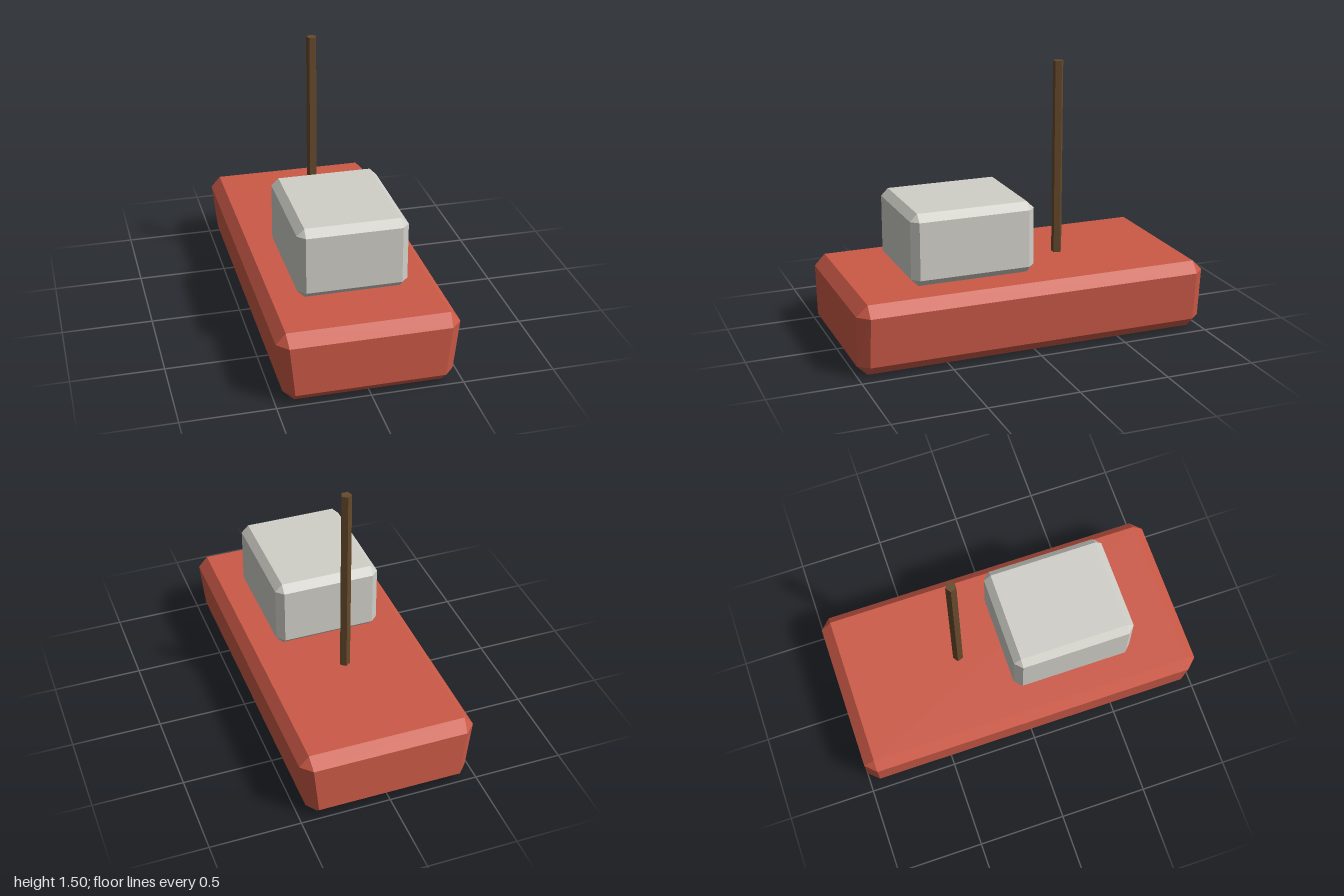
import * as THREE from 'three';
import { ConvexGeometry } from 'three/addons/geometries/ConvexGeometry.js';

const hullRed = new THREE.MeshStandardMaterial({ color: 0xcc5a47, flatShading: true });
hullRed.name = 'hullRed';
const cabinGrey = new THREE.MeshStandardMaterial({ color: 0xd0cfc8, flatShading: true });
cabinGrey.name = 'cabinGrey';
const mastBrown = new THREE.MeshStandardMaterial({ color: 0x664a2c, flatShading: true });
mastBrown.name = 'mastBrown';

// Box with chamfered edges; widthAt(y) scales x by the height above its base.
function chamferedBox(w, h, d, c, widthAt = () => 1) {
  const points = [];
  for (const sx of [-1, 1]) for (const sy of [-1, 1]) for (const sz of [-1, 1]) {
    for (const [ix, iy, iz] of [[0, c, c], [c, 0, c], [c, c, 0]]) {
      const y = h / 2 + sy * (h / 2 - iy);
      points.push(new THREE.Vector3(sx * (w / 2 - ix) * widthAt(y), y, sz * (d / 2 - iz)));
    }
  }
  return new ConvexGeometry(points);
}

export function createModel() {
  const boat = new THREE.Group();
  boat.name = 'boat';

  const add = (name, geometry, material, x, y, z) => {
    const mesh = new THREE.Mesh(geometry, material);
    mesh.name = name;
    mesh.position.set(x, y, z);
    boat.add(mesh);
    return mesh;
  };

  // Hull, narrower towards the keel
  add('hull', chamferedBox(1, 0.4, 2, 0.06, (y) => 0.9 + 0.22 * y), hullRed, 0, 0, 0);

  // Cabin on the front half of the deck
  add('cabin', chamferedBox(0.6, 0.4, 0.7, 0.04), cabinGrey, 0, 0.4, 0.3);

  // Five-sided mast, one edge pointing backwards
  const mast = add('mast', new THREE.CylinderGeometry(0.03, 0.03, 1.1, 5), mastBrown, 0, 0.95, -0.3);
  mast.rotation.y = Math.PI;

  return boat;
}
